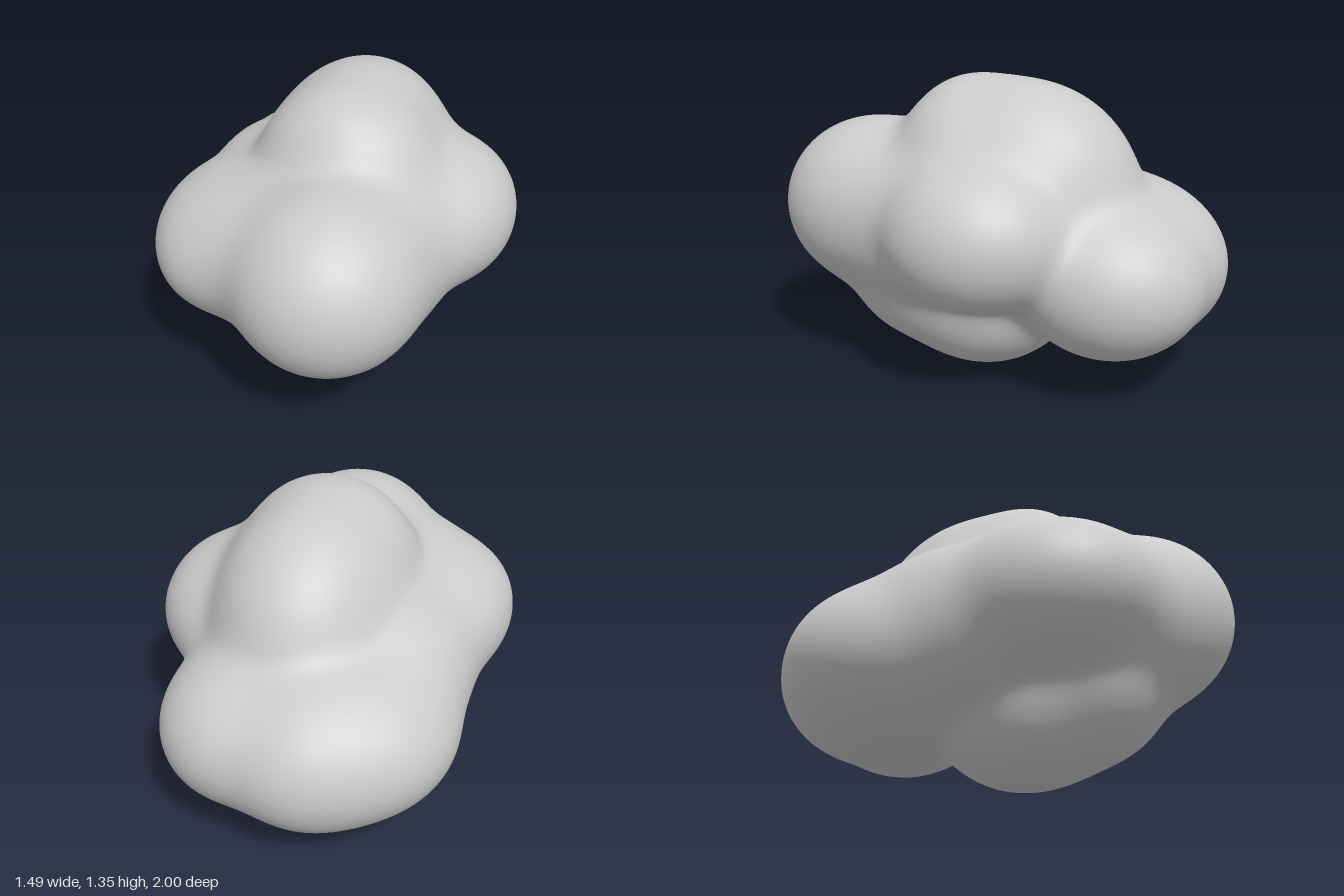
import * as THREE from 'three';
import { mergeVertices } from 'three/addons/utils/BufferGeometryUtils.js';

// Rounded lobes that blend into one lump: centre and radii
const lobes = [
  { c: [0.02, 0.83, -0.12], r: [0.42, 0.50, 0.525] }, // top dome
  { c: [0.04, 0.97, 0.12], r: [0.37, 0.355, 0.30] },  // dome front
  { c: [0.10, 0.73, 0.58], r: [0.40, 0.39, 0.42] },   // front bulge
  { c: [-0.20, 0.72, 0.44], r: [0.33, 0.30, 0.34] },  // bridge to front side bulge
  { c: [-0.42, 0.68, 0.32], r: [0.325, 0.30, 0.41] }, // front side bulge
  { c: [0.41, 0.73, -0.06], r: [0.335, 0.32, 0.385] }, // left side bulge
  { c: [0.26, 0.70, 0.28], r: [0.28, 0.33, 0.35] },   // bridge to left side bulge
  { c: [-0.31, 0.52, -0.44], r: [0.425, 0.34, 0.44] }, // back bulge, right half
  { c: [-0.17, 0.51, -0.58], r: [0.38, 0.345, 0.41] }, // back bulge, middle
  { c: [0.14, 0.52, -0.57], r: [0.36, 0.33, 0.40] },  // back bulge, left half
  { c: [-0.41, 0.62, -0.10], r: [0.285, 0.33, 0.40] }, // right flank
  { c: [0.00, 0.32, 0.08], r: [0.36, 0.32, 0.40] },   // underside bulge
  { c: [0.04, 0.40, 0.36], r: [0.34, 0.29, 0.32] },   // underside front slope
];
const BLEND = 0.05;

// Approximate distance to one ellipsoid
function lobeDistance(p, { c, r }) {
  let a = 0, b = 0;
  const q = [p.x - c[0], p.y - c[1], p.z - c[2]];
  for (let i = 0; i < 3; i++) {
    a += (q[i] / r[i]) ** 2;
    b += (q[i] / r[i] ** 2) ** 2;
  }
  a = Math.sqrt(a);
  return a * (a - 1) / Math.max(Math.sqrt(b), 1e-6);
}

// Smooth union of all lobes
function distance(p) {
  let sum = 0;
  for (const lobe of lobes) sum += Math.exp(-lobeDistance(p, lobe) / BLEND);
  return -BLEND * Math.log(sum + 1e-30);
}

export function createModel() {
  const group = new THREE.Group();
  group.name = 'lumpyBlob';

  // Push each point of a fine sphere onto the blended surface
  let geometry = new THREE.IcosahedronGeometry(1, 44);
  geometry.deleteAttribute('normal');
  geometry.deleteAttribute('uv');
  geometry = mergeVertices(geometry, 1e-5);
  const centre = new THREE.Vector3(0, 0.6, 0);
  const pos = geometry.attributes.position;
  const dir = new THREE.Vector3(), p = new THREE.Vector3();
  for (let i = 0; i < pos.count; i++) {
    dir.fromBufferAttribute(pos, i).normalize();
    const at = (t) => distance(p.copy(centre).addScaledVector(dir, t));
    let lo = 1.3;
    while (lo > 0.1 && at(lo) > 0) lo -= 0.03;
    let hi = lo + 0.03;
    for (let k = 0; k < 14; k++) {
      const mid = (lo + hi) / 2;
      if (at(mid) > 0) hi = mid; else lo = mid;
    }
    p.copy(centre).addScaledVector(dir, lo);
    pos.setXYZ(i, p.x, p.y, p.z);
  }
  geometry.computeVertexNormals();

  const body = new THREE.Mesh(geometry, new THREE.MeshStandardMaterial({ color: 0xcccccc }));
  body.name = 'body';
  group.add(body);
  return group;
}
